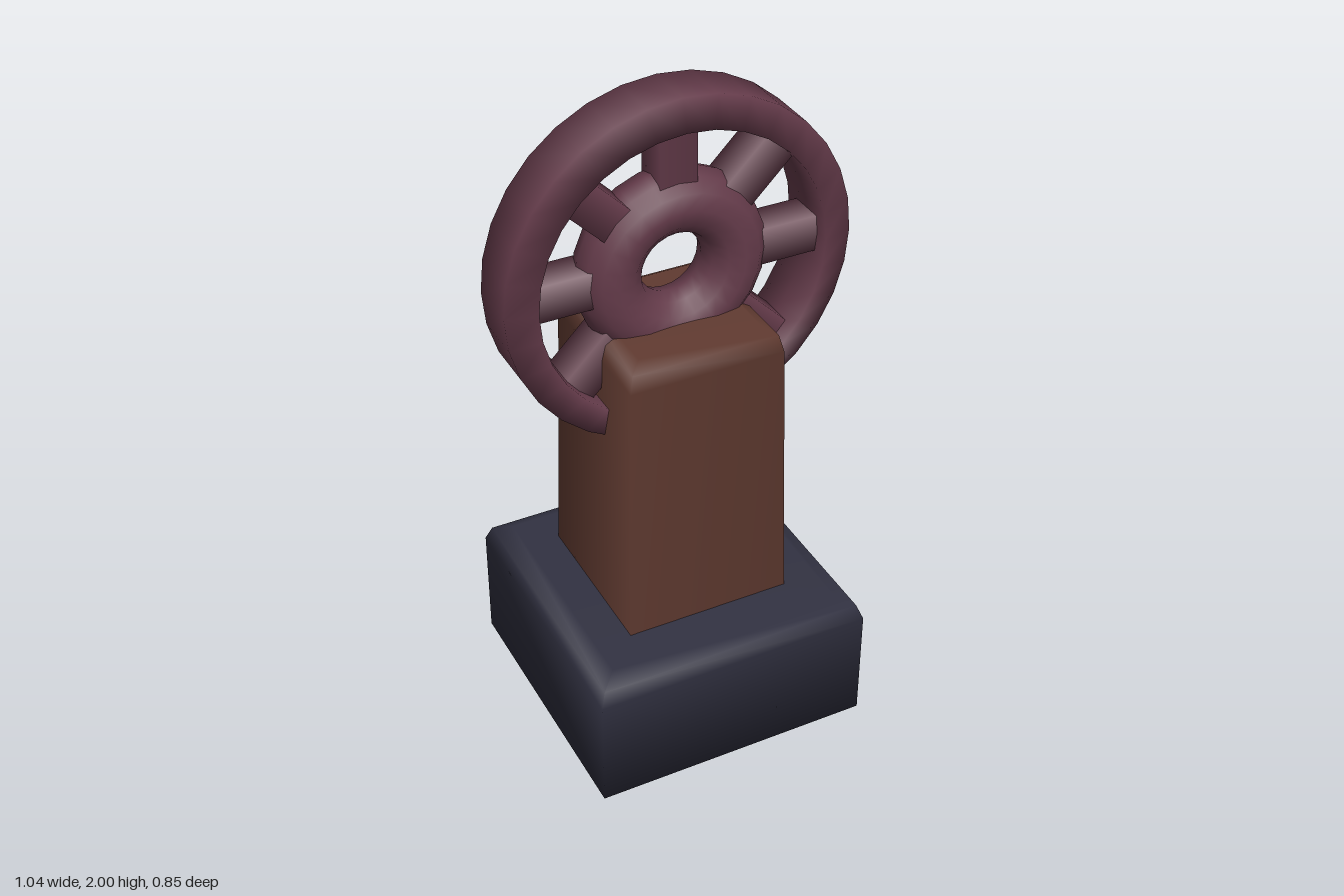
import * as THREE from 'three';

const material = (name, color) => {
  const m = new THREE.MeshStandardMaterial({ color });
  m.name = name;
  return m;
};

const v2 = (list) => list.map(([r, y]) => new THREE.Vector2(r, y));

// Smooth square block turned from a [half width, height] profile
function squareBlock(profile) {
  const points = v2(profile.map(([w, y]) => [w * Math.SQRT2, y]));
  return new THREE.LatheGeometry(points, 4, Math.PI / 4);
}

// Closed ring turned from a [radius, depth] profile, facing the front
function ring(profile, segments) {
  return new THREE.LatheGeometry(v2(profile), segments).rotateX(Math.PI / 2);
}

export function createModel() {
  const slate = material('slate', 0x323242);
  const brown = material('brown', 0x613b31);
  const plum = material('plum', 0x633a49);

  const model = new THREE.Group();
  model.name = 'wheelOnPedestal';
  const add = (parent, name, geometry, mat) => {
    const mesh = new THREE.Mesh(geometry, mat);
    mesh.name = name;
    parent.add(mesh);
    return mesh;
  };

  // Wide foot with a softened top edge
  add(model, 'base', squareBlock([
    [0, 0], [0.427, 0], [0.427, 0.355], [0.41, 0.4], [0.36, 0.424], [0, 0.424],
  ]), slate);

  // Tapering post with a rounded head
  add(model, 'post', squareBlock([
    [0.255, 0.38], [0.253, 0.43], [0.234, 1.25], [0.222, 1.3], [0.185, 1.322], [0, 1.322],
  ]), brown);

  // Wheel
  const wheel = new THREE.Group();
  wheel.name = 'wheel';
  wheel.position.y = 1.48;
  model.add(wheel);

  add(wheel, 'rim', ring([
    [0.43, 0], [0.43, -0.102], [0.52, -0.077], [0.52, 0.077], [0.43, 0.102], [0.43, 0],
  ], 32), plum);

  const hub = add(wheel, 'hub', new THREE.TorusGeometry(0.19, 0.095, 12, 24), plum);
  hub.scale.z = 0.95;

  // Eight square spokes between hub and rim
  for (let i = 0; i < 8; i++) {
    const spoke = new THREE.CylinderGeometry(0.078, 0.078, 0.22, 4, 1, true, Math.PI / 4);
    spoke.translate(0, 0.345, 0).rotateZ(i * Math.PI / 4);
    add(wheel, 'spoke', spoke, plum);
  }

  return model;
}
